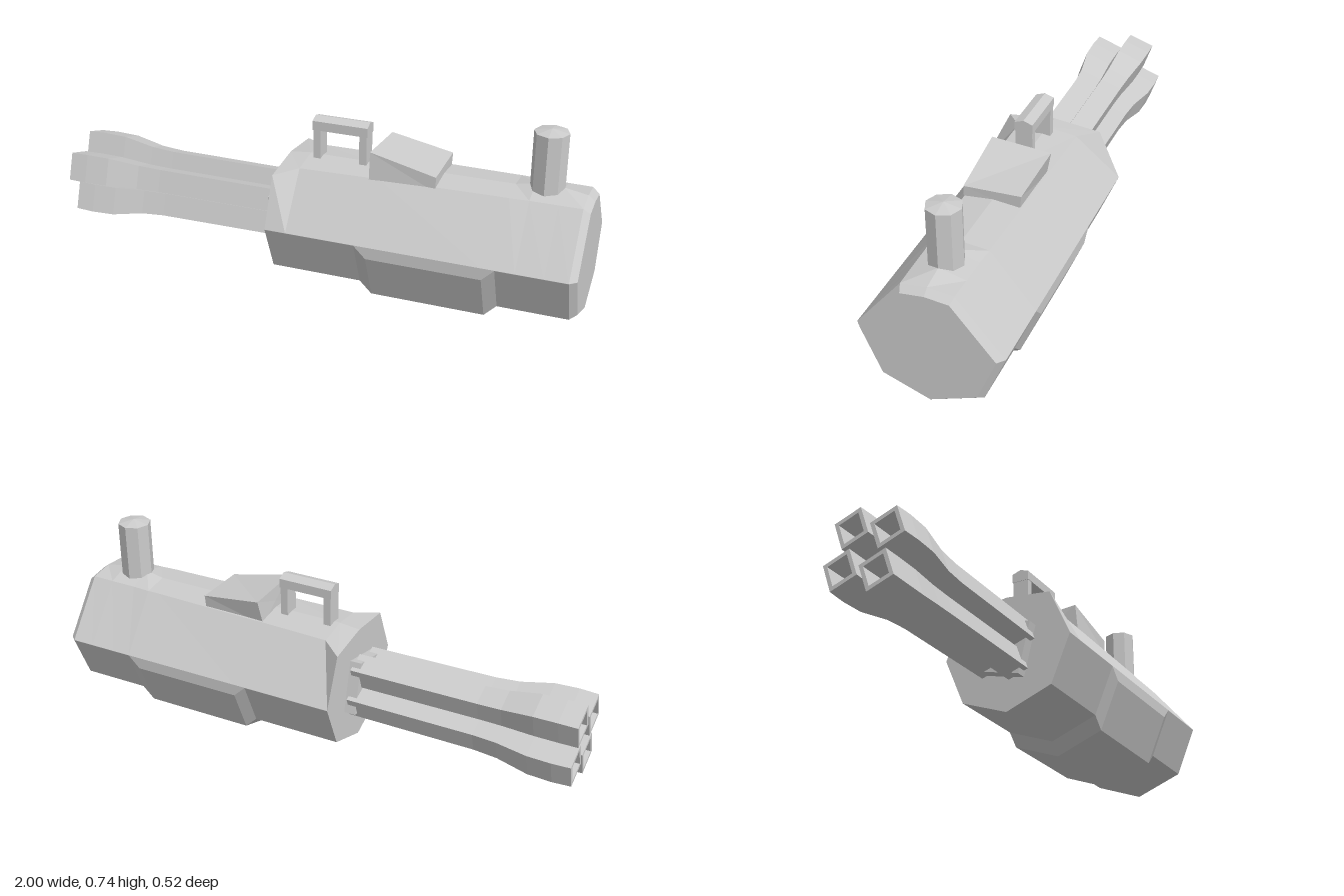
import * as THREE from 'three';

const material = new THREE.MeshStandardMaterial({ color: 0xcccccc, flatShading: true });

function addMesh(parent, name, geometry) {
  const mesh = new THREE.Mesh(geometry, material);
  mesh.name = name;
  parent.add(mesh);
  return mesh;
}

// Skin rings of [x, y, z] points and cap both ends. Rings turn from +y towards +z.
function loft(rings) {
  const pos = [];
  const tri = (...pts) => pts.forEach((p) => pos.push(...p));
  const n = rings[0].length;
  const centre = (ring) => [0, 1, 2].map((k) => ring.reduce((s, p) => s + p[k], 0) / n);
  for (let i = 0; i < rings.length - 1; i++) {
    for (let j = 0; j < n; j++) {
      const a = rings[i][j], b = rings[i][(j + 1) % n];
      const d = rings[i + 1][j], c = rings[i + 1][(j + 1) % n];
      tri(a, b, c);
      tri(a, c, d);
    }
  }
  const first = rings[0], last = rings[rings.length - 1];
  for (let j = 0; j < n; j++) {
    const k = (j + 1) % n;
    tri(centre(first), first[k], first[j]);
    tri(centre(last), last[j], last[k]);
  }
  const geometry = new THREE.BufferGeometry();
  geometry.setAttribute('position', new THREE.Float32BufferAttribute(pos, 3));
  geometry.computeVertexNormals();
  return geometry;
}

// Mirrored body section: shoulder half width and height, top height, belly drop
function bodyRing([x, shoulder, shoulderY, top, drop]) {
  const half = [
    [x, shoulderY, shoulder],
    [x, 0.298, 0.26],
    [x, 0.297 - drop, 0.26],
    [x, 0.115 - drop, 0.183],
  ];
  const mirrored = half.map(([px, y, z]) => [px, y, -z]).reverse();
  return [[x, top, 0], ...half, [x, 0.045 - drop, 0], ...mirrored];
}

export function createModel() {
  const model = new THREE.Group();
  model.name = 'rotaryGun';

  // Faceted housing with a flared rear collar, a belly bulge and a raised top pad
  const sections = [
    [-0.13, 0.18, 0.48, 0.5, 0],
    [-0.05, 0.115, 0.493, 0.508, 0],
    [0.21, 0.11, 0.497, 0.508, 0],
    [0.255, 0.11, 0.497, 0.508, 0.045],
    [0.675, 0.1, 0.5, 0.51, 0.045],
    [0.72, 0.1, 0.5, 0.51, 0],
    [0.79, 0.096, 0.5, 0.525, 0],
    [0.89, 0.095, 0.5, 0.525, 0],
    [0.975, 0.093, 0.5, 0.51, 0],
  ].map(bodyRing);
  const cap = sections[sections.length - 1].map(([, y, z]) =>
    [1, 0.285 + (y - 0.285) * 0.91, z * 0.91]);
  addMesh(model, 'housing', loft([...sections, cap]));

  // Four square barrels, open at the flared muzzle, set around the axis
  const corners = [[0.12, 0.12], [0.02, 0.155], [-0.015, 0.055], [0.085, 0.02]];
  const barrelStations = [
    [-0.88, 1, 0.7], [-1, 1, 0.74], [-1, 1, 1], [-0.93, 1.02, 1],
    [-0.84, 1, 1], [-0.72, 0.85, 1], [-0.63, 0.81, 1], [-0.14, 0.79, 1],
  ];
  const barrelGeometry = loft(barrelStations.map(([x, scale, inset]) =>
    corners.map(([y, z]) => [
      x,
      scale * (0.0525 + (y - 0.0525) * inset),
      scale * (0.0875 + (z - 0.0875) * inset),
    ])));
  const barrels = new THREE.Group();
  barrels.name = 'barrels';
  barrels.position.y = 0.285;
  for (let i = 0; i < 4; i++) {
    addMesh(barrels, 'barrel', barrelGeometry).rotation.x = (i * Math.PI) / 2;
  }
  model.add(barrels);

  // Mounting plate where the barrels meet the housing
  const hub = addMesh(model, 'barrelMount', new THREE.BoxGeometry(0.05, 0.2, 0.2));
  hub.position.set(-0.148, 0.285, 0);
  hub.rotation.x = 0.24;

  // Carry handle: two legs and a ridged grip
  const handle = new THREE.Group();
  handle.name = 'carryHandle';
  for (const x of [-0.014, 0.163]) {
    addMesh(handle, 'handleLeg', new THREE.BoxGeometry(0.028, 0.15, 0.064)).position.set(x, 0.555, 0);
  }
  const gripRing = (x) => [
    [x, 0.662, 0], [x, 0.65, 0.034], [x, 0.615, 0.034], [x, 0.615, -0.034], [x, 0.65, -0.034],
  ];
  addMesh(handle, 'handleGrip', loft([gripRing(-0.03), gripRing(0.18)]));
  model.add(handle);

  // Sloping sight block
  addMesh(model, 'sightBlock', loft([
    [[0.215, 0.594, 0.105], [0.215, 0.48, 0.115], [0.215, 0.48, -0.1], [0.225, 0.583, -0.122]],
    [[0.46, 0.537, 0.108], [0.46, 0.48, 0.108], [0.46, 0.48, -0.098], [0.462, 0.545, -0.105]],
  ]));

  // Octagonal post with a shallow pointed top
  const profile = [[0.062, 0.48], [0.062, 0.726], [0, 0.738]].map(([r, y]) => new THREE.Vector2(r, y));
  addMesh(model, 'post', new THREE.LatheGeometry(profile, 8)).position.x = 0.832;

  return model;
}
